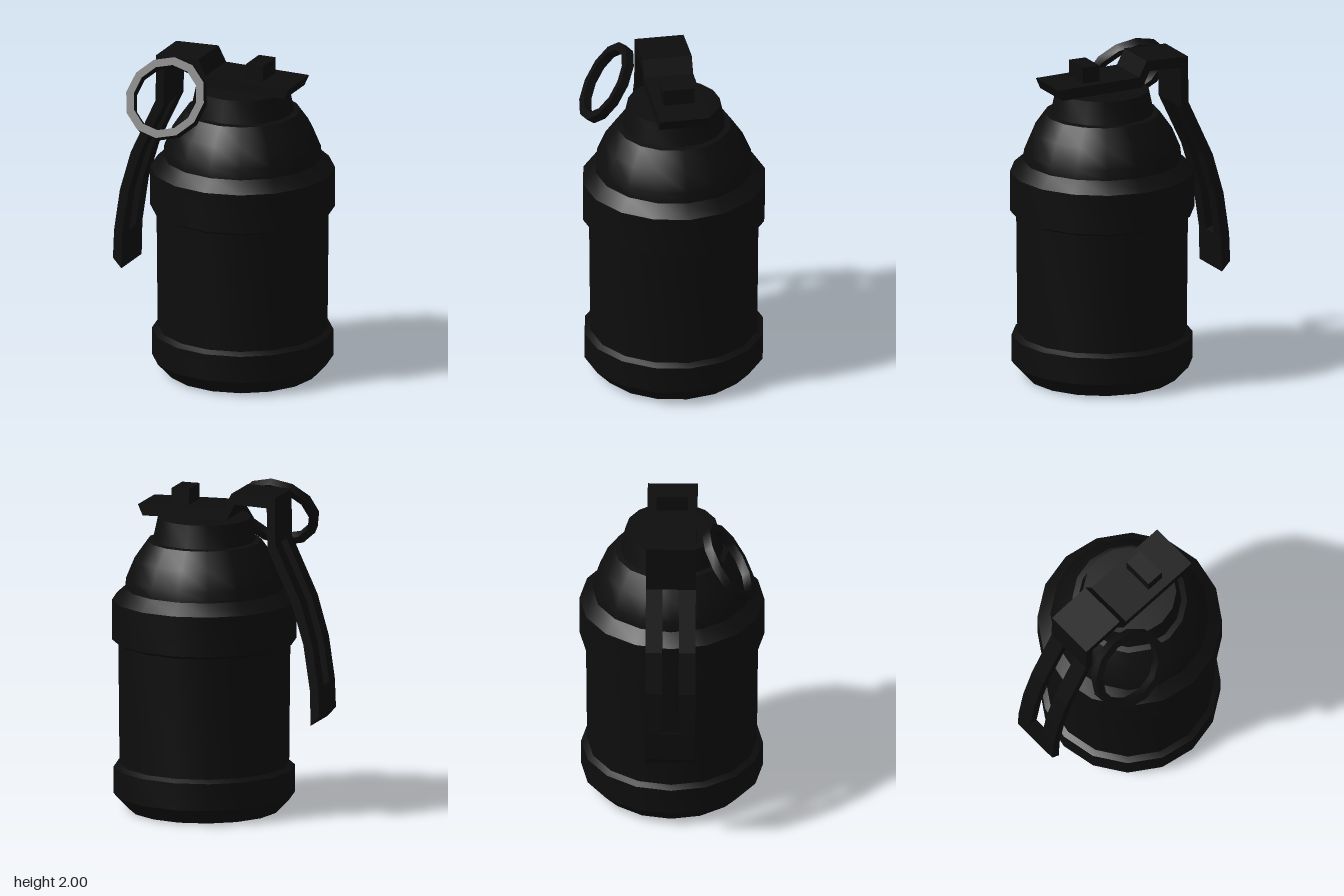
import * as THREE from 'three';
import { toCreasedNormals } from 'three/addons/utils/BufferGeometryUtils.js';

const AXIS_X = 0.115; // the body sits to one side to make room for the lever

export function createModel() {
  const group = new THREE.Group();
  const black = new THREE.MeshStandardMaterial({ color: 0x0d0d0d });
  black.name = 'black metal';

  const add = (name, geometry, x = 0, y = 0, z = 0) => {
    const mesh = new THREE.Mesh(geometry, black);
    mesh.name = name;
    mesh.position.set(x, y, z);
    group.add(mesh);
    return mesh;
  };
  const vecs = (pts) => pts.map(([x, y]) => new THREE.Vector2(x, y));

  // Sixteen-sided canister: chamfered foot, wall, collar band, dome and neck
  const profile = vecs([
    [0, 0], [0.455, 0], [0.545, 0.095], [0.545, 0.26], [0.51, 0.28],
    [0.517, 1.02], [0.555, 1.04], [0.555, 1.285], [0.477, 1.355],
    [0.47, 1.42], [0.42, 1.54], [0.345, 1.645], [0.31, 1.65],
    [0.28, 1.79], [0, 1.80],
  ]);
  add('body', toCreasedNormals(new THREE.LatheGeometry(profile, 16), 0.6), AXIS_X);

  // Lever strip: matching outer and inner points, from the top plate to the tip
  const outer = [
    [0.485, 1.867], [-0.06, 1.877], [-0.11, 1.973], [-0.387, 1.965], [-0.39, 1.68],
    [-0.553, 1.33], [-0.625, 1.08], [-0.663, 0.82], [-0.67, 0.645],
  ];
  const inner = [
    [0.455, 1.80], [-0.082, 1.812], [-0.13, 1.908], [-0.335, 1.90], [-0.34, 1.65],
    [-0.492, 1.33], [-0.568, 1.08], [-0.61, 0.80], [-0.615, 0.585],
  ];
  const strip = (name, from, to, z0, z1) => {
    const outline = [...outer.slice(from, to + 1), ...inner.slice(from, to + 1).reverse()];
    const geometry = new THREE.ExtrudeGeometry(new THREE.Shape(vecs(outline)), {
      depth: z1 - z0, bevelEnabled: false,
    });
    add(name, geometry, 0, 0, z0);
  };
  strip('leverTop', 0, 4, -0.15, 0.15);
  strip('leverRailFront', 4, 7, 0.05, 0.15); // the two rails leave a long slot
  strip('leverRailBack', 4, 7, -0.15, -0.05);
  strip('leverTip', 7, 8, -0.15, 0.15);

  // Small block on the top plate
  add('topBlock', new THREE.BoxGeometry(0.11, 0.14, 0.19), 0.235, 1.90, 0);

  // Pull ring of square section with twelve sides, leaning back
  const section = vecs([
    [0.205, -0.027], [0.255, -0.027], [0.255, 0.027], [0.205, 0.027], [0.205, -0.027],
  ]);
  const ringGeometry = toCreasedNormals(new THREE.LatheGeometry(section, 12), 0.6);
  ringGeometry.rotateX(Math.PI / 2);
  add('pullRing', ringGeometry, -0.23, 1.771, 0.348).rotation.x = -0.58;

  return group;
}
